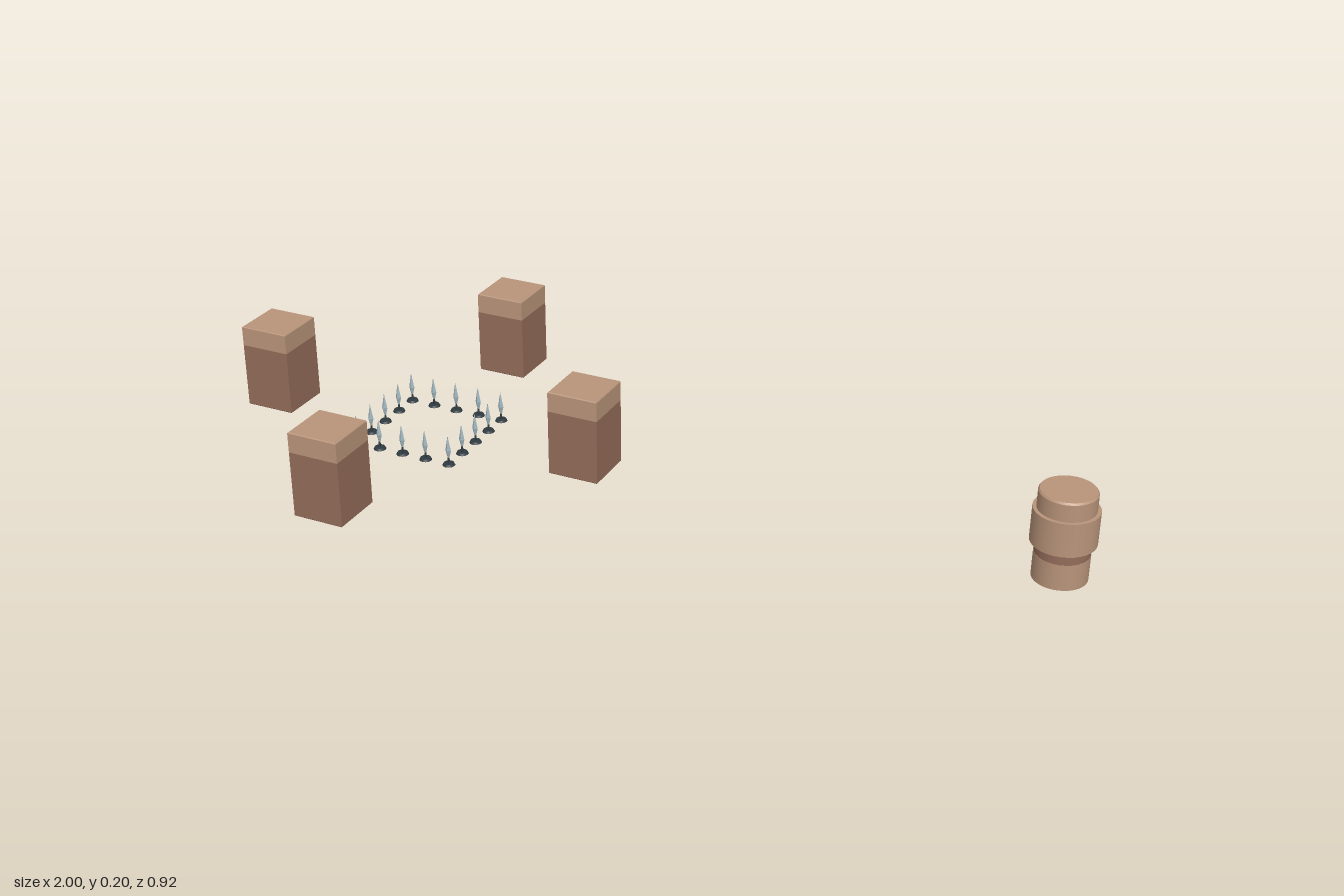
import * as THREE from 'three';

const material = (name, color) => Object.assign(new THREE.MeshStandardMaterial({ color }), { name });

export function createModel() {
  const brown = material('brown', 0x936c5a);
  const tan = material('tan', 0xb8947a);
  const steel = material('steel', 0x9fb4bd);
  const iron = material('dark iron', 0x2f3a40);

  const add = (parent, name, geometry, mat, y = 0) => {
    const mesh = new THREE.Mesh(geometry, mat);
    mesh.name = name;
    mesh.position.y = y;
    parent.add(mesh);
  };
  const group = (parent, name, x, z) => {
    const g = new THREE.Group();
    g.name = name;
    g.position.set(x, 0, z);
    parent.add(g);
    return g;
  };
  // Faceted frustum from y0 to y1; turn rotates its corners
  const facets = (topR, bottomR, y0, y1, sides, turn = 0) => {
    const g = new THREE.CylinderGeometry(topR, bottomR, y1 - y0, sides).rotateY(turn).toNonIndexed();
    g.translate(0, (y0 + y1) / 2, 0);
    g.computeVertexNormals();
    return g;
  };
  const square = (topW, bottomW, y0, y1) =>
    facets(topW * Math.SQRT1_2, bottomW * Math.SQRT1_2, y0, y1, 4, Math.PI / 4);

  const model = new THREE.Group();
  model.name = 'trapSet';
  const centreX = -0.5405;

  // Four blocks around the spike square
  const W = 0.119;
  for (const [x, z] of [[-0.4, 0], [0.4, 0], [0, -0.4], [0, 0.4]]) {
    const block = group(model, 'block', centreX + x, z);
    add(block, 'blockBottomEdge', square(W, W - 0.004, 0, 0.002), brown);
    add(block, 'blockBody', square(W, W, 0.002, 0.153), brown);
    add(block, 'blockCap', square(W, W, 0.153, 0.198), tan);
    add(block, 'blockCapEdge', square(W - 0.004, W, 0.198, 0.2), tan);
  }

  // Ring of sixteen spikes on a five by five square
  const disc = new THREE.CylinderGeometry(0.012, 0.0145, 0.005, 12).translate(0, 0.0025, 0);
  const stem = new THREE.CylinderGeometry(0.002, 0.003, 0.016, 8).translate(0, 0.012, 0);
  const lowerBlade = facets(0.007, 0.002, 0.016, 0.036, 4);
  const upperBlade = facets(0, 0.007, 0.036, 0.073, 4);
  for (let i = -2; i <= 2; i++) {
    for (let j = -2; j <= 2; j++) {
      if (Math.max(Math.abs(i), Math.abs(j)) < 2) continue;
      const spike = group(model, 'spike', centreX + i * 0.06, j * 0.06);
      add(spike, 'spikeFoot', disc, iron);
      add(spike, 'spikeStem', stem, iron);
      add(spike, 'spikeLowerBlade', lowerBlade, steel);
      add(spike, 'spikeUpperBlade', upperBlade, steel);
    }
  }

  // Round post with a wide collar and a darker neck
  const post = group(model, 'post', 0.932, 0);
  const drum = (name, r, y0, y1, mat) =>
    add(post, name, new THREE.CylinderGeometry(r, r, y1 - y0, 32), mat, (y0 + y1) / 2);
  drum('postFoot', 0.0575, 0, 0.058, tan);
  drum('postNeck', 0.057, 0.058, 0.083, brown);
  drum('postCollar', 0.068, 0.083, 0.158, tan);
  drum('postHead', 0.06, 0.158, 0.196, tan);
  add(post, 'postHeadEdge', new THREE.CylinderGeometry(0.057, 0.06, 0.004, 32), tan, 0.198);

  return model;
}
